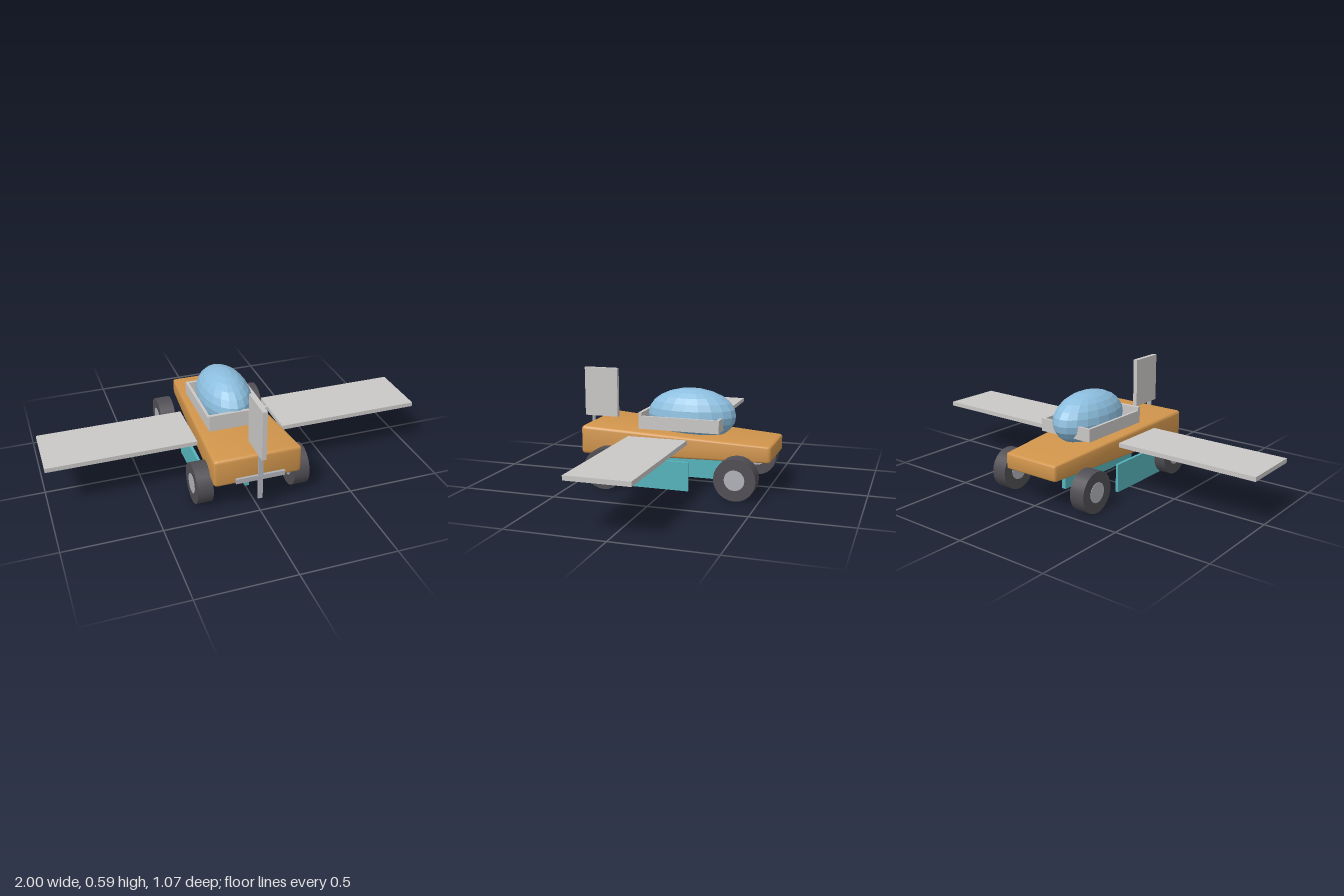
import * as THREE from 'three';
import { RoundedBoxGeometry } from 'three/addons/geometries/RoundedBoxGeometry.js';
import { toCreasedNormals } from 'three/addons/utils/BufferGeometryUtils.js';

const paint = (name, color, flatShading = false) => {
  const m = new THREE.MeshStandardMaterial({ color, flatShading });
  m.name = name;
  return m;
};

export function createModel() {
  const orange = paint('orange body', 0xd1954c);
  const teal = paint('teal fins', 0x56b4bc);
  const tyreGrey = paint('tyre grey', 0x504e54);
  const metal = paint('metal', 0xb0b2b8);
  const lightGrey = paint('light grey', 0xcac8c6);
  const glass = paint('blue glass', 0x8cbede, true);

  const model = new THREE.Group();
  model.name = 'wingedCar';

  const add = (parent, name, geometry, material) => {
    const mesh = new THREE.Mesh(geometry, material);
    mesh.name = name;
    parent.add(mesh);
    return mesh;
  };
  // Box given by its minimum and maximum on each axis
  const box = (parent, name, material, [x0, x1], [y0, y1], [z0, z1]) => {
    const mesh = add(parent, name, new THREE.BoxGeometry(x1 - x0, y1 - y0, z1 - z0), material);
    mesh.position.set((x0 + x1) / 2, (y0 + y1) / 2, (z0 + z1) / 2);
    return mesh;
  };

  // Body: rounded box, wide and tall at the front, tapering to the rear
  const bodyGeometry = new RoundedBoxGeometry(0.46, 0.152, 0.995, 2, 0.018);
  const p = bodyGeometry.attributes.position;
  for (let i = 0; i < p.count; i++) {
    const t = p.getZ(i) / 0.995 + 0.5;
    const v = p.getY(i) / 0.152 + 0.5;
    const bottom = THREE.MathUtils.lerp(0.17, 0.163, t);
    const top = THREE.MathUtils.lerp(0.255, 0.315, t);
    p.setXYZ(i, p.getX(i) * THREE.MathUtils.lerp(0.7, 1, t),
      THREE.MathUtils.lerp(bottom, top, v), p.getZ(i) - 0.0325);
  }
  add(model, 'body', toCreasedNormals(bodyGeometry, 0.5), orange);

  // Cockpit rim: four walls, the front one taller
  const rim = new THREE.Group();
  rim.name = 'cockpitRim';
  model.add(rim);
  for (const s of [-1, 1]) {
    const inner = 0.143 * s, outer = 0.158 * s;
    box(rim, 'rimSide', lightGrey, [Math.min(inner, outer), Math.max(inner, outer)], [0.302, 0.37], [-0.262, 0.152]);
  }
  box(rim, 'rimFront', lightGrey, [-0.158, 0.158], [0.302, 0.389], [0.152, 0.17]);
  box(rim, 'rimBack', lightGrey, [-0.143, 0.143], [0.302, 0.37], [-0.262, -0.247]);

  // Canopy
  const canopy = add(model, 'canopy', new THREE.SphereGeometry(1, 20, 12), glass);
  canopy.scale.set(0.138, 0.14, 0.24);
  canopy.position.set(0, 0.365, -0.073);

  // Wings and side fins
  for (const s of [-1, 1]) {
    const span = (a, b) => (s > 0 ? [a, b] : [-b, -a]);
    box(model, s > 0 ? 'leftWing' : 'rightWing', lightGrey, span(0.232, 1), [0.254, 0.277], [-0.117, 0.2]);
    box(model, s > 0 ? 'leftFin' : 'rightFin', teal, span(0.219, 0.234), [0.011, 0.162], [-0.123, 0.26]);
  }
  box(model, 'centreKeel', teal, [-0.012, 0.012], [0.022, 0.148], [-0.277, 0.305]);

  // Wheels, with a hub face on both sides
  const tyreGeometry = new THREE.CylinderGeometry(0.107, 0.107, 0.082, 24).rotateZ(Math.PI / 2);
  const hubGeometry = new THREE.CylinderGeometry(0.052, 0.052, 0.086, 24).rotateZ(Math.PI / 2);
  for (const s of [-1, 1]) {
    for (const [end, z] of [['front', 0.312], ['back', -0.38]]) {
      const wheel = new THREE.Group();
      wheel.name = end + (s > 0 ? 'Left' : 'Right') + 'Wheel';
      wheel.position.set(0.258 * s, 0.109, z);
      add(wheel, 'tyre', tyreGeometry, tyreGrey);
      add(wheel, 'hub', hubGeometry, metal);
      model.add(wheel);
    }
  }

  // Nose propeller and the upright vane above it
  box(model, 'propellerUpright', metal, [-0.012, 0.012], [0.075, 0.325], [0.485, 0.497]);
  box(model, 'propellerCrossbar', metal, [-0.128, 0.128], [0.188, 0.214], [0.4845, 0.4975]);
  box(model, 'noseVane', lightGrey, [-0.012, 0.012], [0.325, 0.59], [0.346, 0.535]);

  return model;
}
